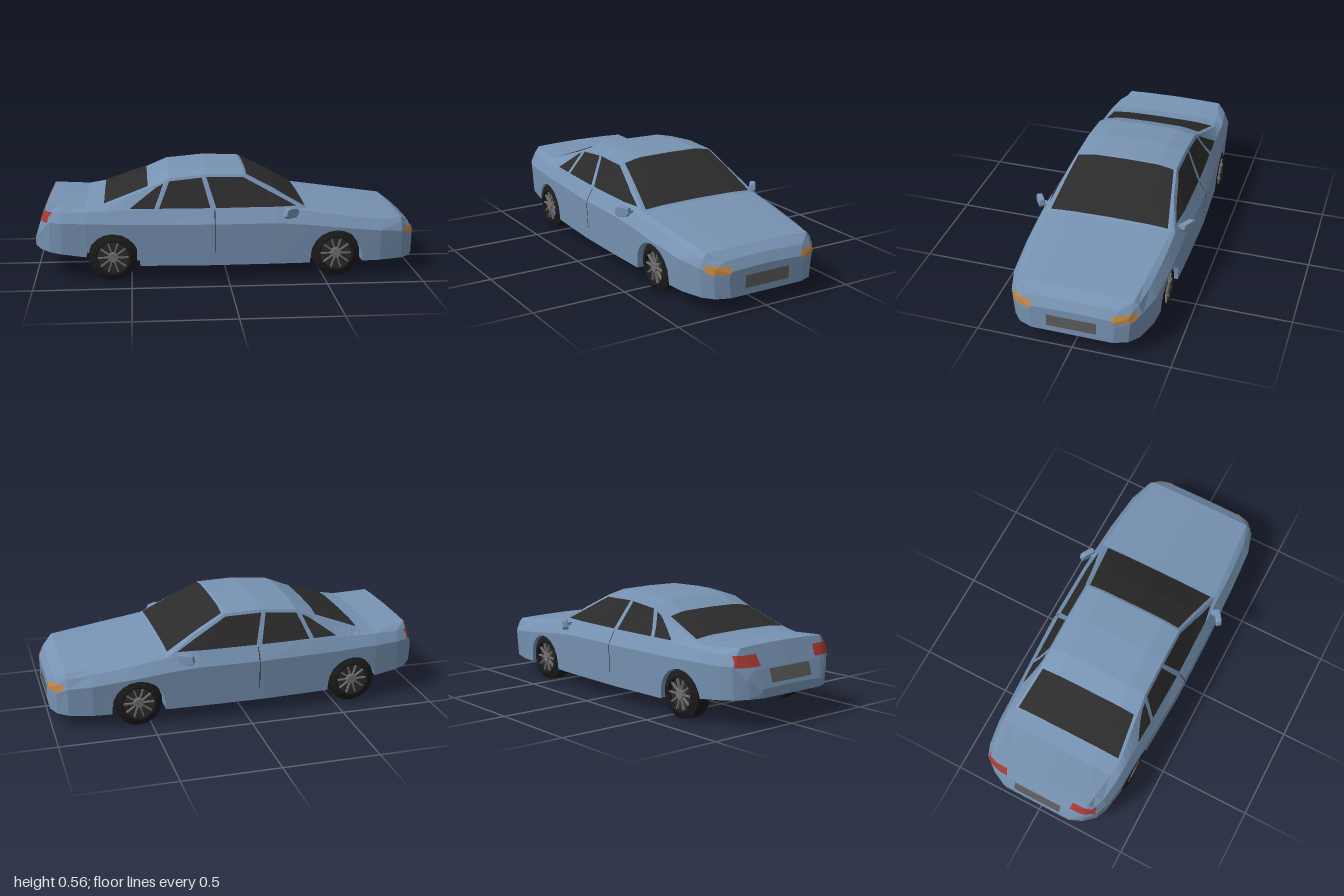
import * as THREE from 'three';

const mat = (color) => new THREE.MeshStandardMaterial({ color, flatShading: true, side: THREE.DoubleSide });
const PAINT = new THREE.MeshStandardMaterial({ color: 0x7793b3, flatShading: true });
const GLASS = mat(0x2b2b2b), TYRE = mat(0x1b1b1b), RIM = mat(0x2c2c2c), METAL = mat(0x707070);
const AMBER = mat(0xc08340), RED = mat(0xa83a34), PLATE = mat(0x5c5c5c);
const V = (x, y, z) => new THREE.Vector3(x, y, z);

const AXLES = [-0.595, 0.565], WHEEL_Y = 0.125, ARCH_R = 0.137;

// design lines along the car, as [x, value]
const floorLine = [[-1, 0.155], [-0.73, 0.128], [-0.45, 0.08], [1, 0.08]];
const halfWidth = [[-1, 0.2], [-0.97, 0.268], [-0.92, 0.325], [-0.86, 0.35], [-0.73, 0.37], [-0.1, 0.4], [0.25, 0.397], [0.57, 0.388], [0.8, 0.37], [0.92, 0.335], [0.973, 0.29], [1, 0.22]];
const shoulderLine = [[-1, 0.195], [-0.97, 0.27], [-0.92, 0.358], [-0.41, 0.37], [0.25, 0.368], [0.41, 0.352], [0.92, 0.275], [1, 0.205]];
const shoulderInset = [[-1, 0], [-0.92, 0.025], [-0.1, 0.04], [0.8, 0.035], [0.92, 0.02], [1, 0.005]];
const topLine = [[-1, 0.2], [-0.97, 0.29], [-0.92, 0.397], [-0.73, 0.387], [-0.64, 0.402], [-0.41, 0.492], [-0.3, 0.54], [-0.1, 0.558], [0.09, 0.552], [0.25, 0.47], [0.41, 0.368], [0.92, 0.3], [0.973, 0.263], [1, 0.215]];
const railDrop = [[-1, 0.002], [-0.64, 0.012], [-0.41, 0.022], [0.25, 0.02], [0.41, 0.008], [1, 0.003]];
const railWidth = [[-1, 0.19], [-0.92, 0.275], [-0.64, 0.31], [-0.3, 0.276], [0.09, 0.275], [0.41, 0.335], [0.92, 0.295], [1, 0.2]];

function at(line, x) {
  const i = Math.min(Math.max(line.findIndex((p) => p[0] >= x), 1), line.length - 1);
  const [x0, v0] = line[i - 1], [x1, v1] = line[i];
  return v0 + ((v1 - v0) * (x - x0)) / (x1 - x0);
}

// closed cross-section, with the sill lifted over the wheels
function section(x) {
  const floor = at(floorLine, x), wide = at(halfWidth, x), shoulder = at(shoulderLine, x);
  const top = at(topLine, x), rail = at(railWidth, x);
  const crease = floor + (shoulder - floor) * 0.76;
  let arch = floor;
  for (const cx of AXLES) {
    const d = Math.abs(x - cx);
    if (d <= ARCH_R + 1e-6) arch = Math.max(floor, WHEEL_Y - 0.01 + Math.sqrt(Math.max(0, ARCH_R ** 2 - d * d)));
  }
  const sill = wide - 0.011 * (1 - (arch - floor) / (crease - floor));
  const inner = Math.min(0.27, wide * 0.85);
  const half = [
    [floor, 0], [floor, inner], [arch, inner], [arch, sill], [crease, wide],
    [shoulder, wide - at(shoulderInset, x)], [top - at(railDrop, x), rail], [top, rail * 0.65], [top + 0.003, 0],
  ];
  const other = half.slice(1, -1).reverse().map(([y, z]) => [y, -z]);
  return [...half, ...other].map(([y, z]) => V(x, y, z));
}

function bodyGeometry() {
  const lines = [floorLine, halfWidth, shoulderLine, shoulderInset, topLine, railDrop, railWidth];
  const xs = lines.flat().map((p) => p[0]);
  for (const cx of AXLES) {
    xs.push(cx - ARCH_R - 0.002, cx + ARCH_R + 0.002);
    for (let k = 0; k <= 10; k++) xs.push(cx - ARCH_R * Math.cos((k / 10) * Math.PI));
  }
  const rings = [...new Set(xs)].sort((a, b) => a - b).map(section);
  const n = rings[0].length, pts = [];
  for (let i = 0; i < rings.length - 1; i++) {
    for (let j = 0; j < n; j++) {
      const k = (j + 1) % n, r = rings[i], s = rings[i + 1];
      pts.push(r[j], s[j], s[k], r[j], s[k], r[k]);
    }
  }
  const tail = rings[0], nose = rings[rings.length - 1];
  for (let j = 1; j < n - 1; j++) pts.push(tail[0], tail[j], tail[j + 1], nose[0], nose[j + 1], nose[j]);
  const g = new THREE.BufferGeometry().setFromPoints(pts);
  g.computeVertexNormals();
  return g;
}

// four-cornered panel laid onto the body along a direction
function panel(body, name, material, corners, dir, nu = 12, nv = 8) {
  const ray = new THREE.Raycaster(), pts = [], index = [];
  for (let j = 0; j <= nv; j++) {
    for (let i = 0; i <= nu; i++) {
      const low = corners[0].clone().lerp(corners[1], i / nu);
      const high = corners[3].clone().lerp(corners[2], i / nu);
      const p = low.lerp(high, j / nv);
      ray.set(p.clone().addScaledVector(dir, -3).add(V(0.00013, 0.00017, 0.00011)), dir);
      const hit = ray.intersectObject(body)[0];
      pts.push(hit ? hit.point.clone().addScaledVector(hit.face.normal, 0.004) : p);
      if (i < nu && j < nv) {
        const a = j * (nu + 1) + i, b = a + nu + 1;
        index.push(a, a + 1, b + 1, a, b + 1, b);
      }
    }
  }
  const g = new THREE.BufferGeometry().setFromPoints(pts);
  g.setIndex(index);
  g.computeVertexNormals();
  const m = new THREE.Mesh(g, material);
  m.name = name;
  return m;
}

function part(parent, name, geometry, material) {
  const m = new THREE.Mesh(geometry, material);
  m.name = name;
  parent.add(m);
  return m;
}

// wheel with its outer face toward +z
function makeWheel() {
  const w = new THREE.Group();
  w.name = 'wheel';
  const profile = [[0.001, -0.047], [0.122, -0.047], [0.125, -0.04], [0.125, 0.03], [0.09, 0.047], [0.083, 0.045], [0.08, 0.025]];
  const tyre = part(w, 'tyre', new THREE.LatheGeometry(profile.map(([r, y]) => new THREE.Vector2(r, y)), 18), TYRE);
  tyre.rotation.x = Math.PI / 2;
  const disc = part(w, 'rimDisc', new THREE.CircleGeometry(0.082, 18), RIM);
  disc.position.z = 0.026;
  for (let i = 0; i < 10; i++) {
    const a = (i / 10) * Math.PI * 2;
    const spoke = part(w, 'spoke', new THREE.BoxGeometry(0.06, 0.007, 0.012), METAL);
    spoke.position.set(Math.cos(a) * 0.05, Math.sin(a) * 0.05, 0.034);
    spoke.rotation.z = a;
  }
  const hub = part(w, 'hub', new THREE.CylinderGeometry(0.024, 0.028, 0.02, 12), METAL);
  hub.rotation.x = Math.PI / 2;
  hub.position.z = 0.035;
  return w;
}

// door mirror on the +z side
function makeMirror() {
  const g = new THREE.Group();
  g.name = 'doorMirror';
  const s = new THREE.Shape([[-0.04, 0.012], [-0.032, 0.042], [-0.015, 0.048], [0.035, 0.044], [0.04, 0.02], [0.025, 0.002], [-0.025, 0]]
    .map(([x, y]) => new THREE.Vector2(x, y)));
  const shell = part(g, 'mirrorShell', new THREE.ExtrudeGeometry(s, { depth: 0.02, bevelEnabled: true, bevelSize: 0.003, bevelThickness: 0.005, bevelSegments: 1 }), PAINT);
  shell.rotation.y = 0.57;
  shell.position.set(0.315, 0.33, 0.395);
  const stalk = part(g, 'mirrorStalk', new THREE.BoxGeometry(0.03, 0.014, 0.06), PAINT);
  stalk.position.set(0.335, 0.352, 0.365);
  return g;
}

export function createModel() {
  const car = new THREE.Group();
  car.name = 'car';
  const body = part(car, 'body', bodyGeometry(), PAINT);
  const down = V(0, -1, 0), fromFront = V(-1, 0, 0), fromRear = V(1, 0, 0);

  // windscreen and rear window
  car.add(panel(body, 'windscreen', GLASS, [V(0.4, 0, 0.315), V(0.4, 0, -0.315), V(0.1, 0, -0.262), V(0.1, 0, 0.262)], down, 16, 12));
  car.add(panel(body, 'rearWindow', GLASS, [V(-0.635, 0, -0.295), V(-0.635, 0, 0.295), V(-0.41, 0, 0.268), V(-0.41, 0, -0.268)], down, 16, 12));

  // number plates
  const plate = (y0, y1, w) => [V(0, y0, w), V(0, y0, -w), V(0, y1, -w), V(0, y1, w)];
  car.add(panel(body, 'frontPlate', PLATE, plate(0.115, 0.18, 0.128), fromFront));
  car.add(panel(body, 'rearPlate', PLATE, plate(0.22, 0.285, 0.135), fromRear));

  // side windows, door seam and lamps on both sides
  const sidePanels = {
    quarterWindow: [GLASS, [-0.505, 0.375], [-0.38, 0.375], [-0.33, 0.492], [-0.365, 0.475]],
    rearDoorWindow: [GLASS, [-0.355, 0.375], [-0.092, 0.375], [-0.132, 0.52], [-0.3, 0.503]],
    frontDoorWindow: [GLASS, [-0.062, 0.375], [0.355, 0.375], [0.085, 0.518], [-0.108, 0.522]],
    doorSeam: [TYRE, [-0.072, 0.15], [-0.068, 0.15], [-0.068, 0.365], [-0.072, 0.365]],
  };
  for (const s of [1, -1]) {
    for (const [name, [material, ...c]] of Object.entries(sidePanels)) {
      car.add(panel(body, name, material, c.map(([x, y]) => V(x, y, 0)), V(0, 0, -s)));
    }
    car.add(panel(body, 'headlight', AMBER, [V(0, 0.2, s * 0.207), V(0, 0.203, s * 0.308), V(0, 0.244, s * 0.322), V(0, 0.236, s * 0.207)], fromFront));
    car.add(panel(body, 'tailLight', RED, [V(0, 0.302, s * 0.185), V(0, 0.302, s * 0.318), V(0, 0.358, s * 0.308), V(0, 0.358, s * 0.195)], fromRear));

    const mirror = makeMirror();
    mirror.scale.z = s;
    car.add(mirror);

    for (const x of AXLES) {
      const wheel = makeWheel();
      wheel.position.set(x, WHEEL_Y, s * 0.327);
      if (s < 0) wheel.rotation.y = Math.PI;
      car.add(wheel);
    }
  }
  return car;
}
